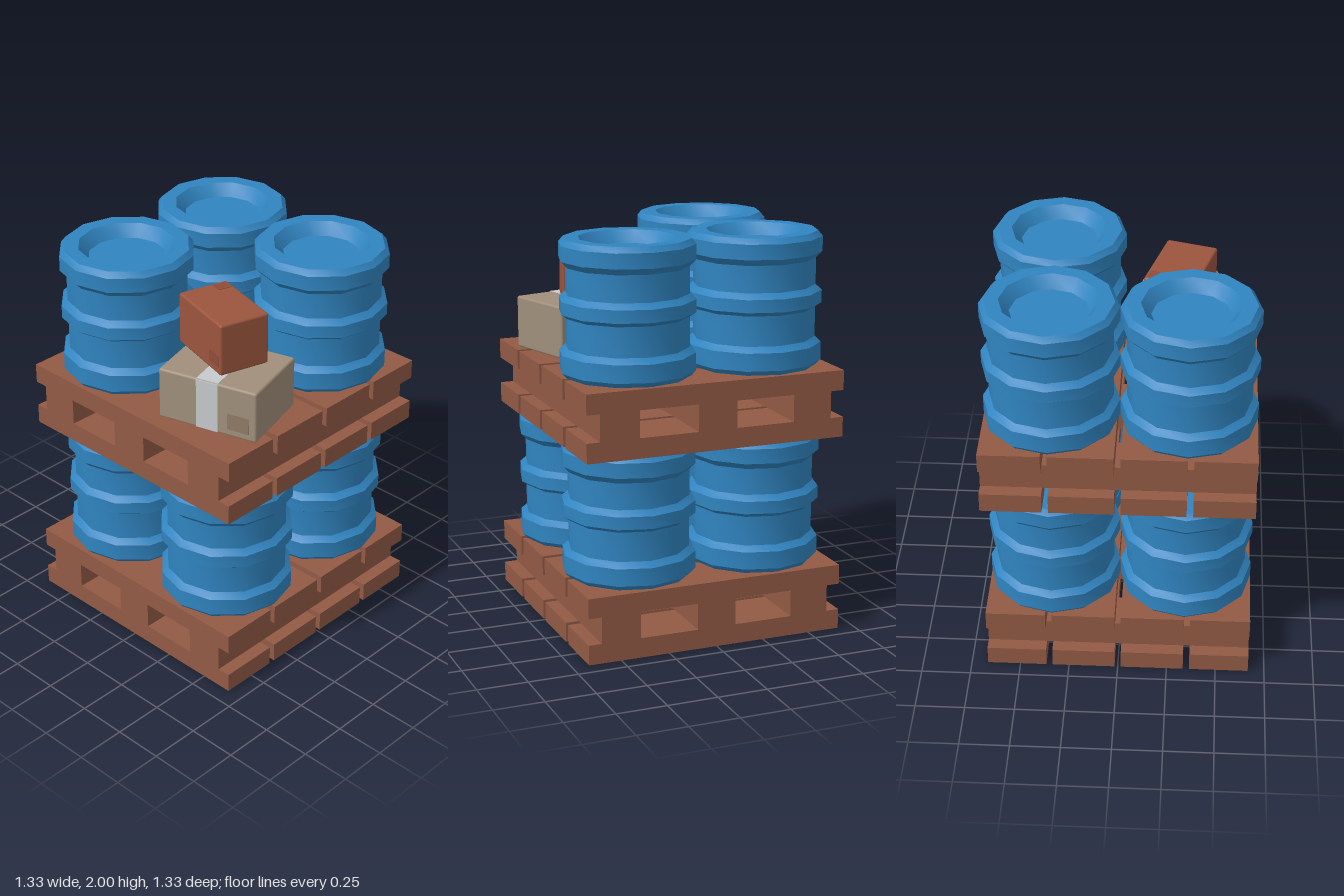
import * as THREE from 'three';
import { toCreasedNormals } from 'three/addons/utils/BufferGeometryUtils.js';
import { RoundedBoxGeometry } from 'three/addons/geometries/RoundedBoxGeometry.js';

const material = (name, color) => {
  const m = new THREE.MeshStandardMaterial({ color });
  m.name = name;
  return m;
};

const PALLET_H = 0.335;
const LAYER = 1;
const HALF = 0.667;

export function createModel() {
  const wood = material('pallet wood', 0x925a45);
  const blue = material('drum blue', 0x3084c0);
  const tan = material('tan cardboard', 0xa08f7a);
  const tanLabel = material('tan label', 0x8f7b66);
  const white = material('tape white', 0xc6cacd);
  const brown = material('brown cardboard', 0x9b553e);
  const brownLabel = material('brown label', 0x8f4c37);

  const model = new THREE.Group();
  model.name = 'loadedPallets';

  const add = (parent, name, geometry, mat, x, y, z) => {
    const mesh = new THREE.Mesh(geometry, mat);
    mesh.name = name;
    mesh.position.set(x, y, z);
    parent.add(mesh);
    return mesh;
  };
  const box = (parent, name, mat, w, h, d, x, y, z) =>
    add(parent, name, new THREE.BoxGeometry(w, h, d), mat, x, y, z);

  // Pallet: four boards above and below three stringers
  function makePallet() {
    const pallet = new THREE.Group();
    pallet.name = 'pallet';
    const boards = [[-HALF, -0.366], [-0.334, -0.016], [0.016, 0.334], [0.366, HALF]];
    for (const [z0, z1] of boards) {
      const d = z1 - z0, z = (z0 + z1) / 2;
      box(pallet, 'bottomBoard', wood, HALF * 2, 0.1, d, 0, 0.05, z);
      box(pallet, 'topBoard', wood, HALF * 2, 0.1, d, 0, 0.285, z);
    }
    for (const x of [-0.5, 0, 0.5]) {
      box(pallet, 'stringer', wood, 0.2, 0.135, HALF * 2, x, 0.1675, 0);
    }
    return pallet;
  }

  // Drum: twelve-sided ribbed body with a recessed lid
  const profile = [
    [0, 0], [0.31, 0], [0.333, 0.025], [0.333, 0.113], [0.302, 0.14],
    [0.302, 0.288], [0.333, 0.31], [0.333, 0.373], [0.302, 0.4],
    [0.302, 0.532], [0.333, 0.564], [0.333, 0.638], [0.31, 0.665],
    [0.238, 0.665], [0.19, 0.605], [0, 0.605],
  ].map(([r, y]) => new THREE.Vector2(r, y));
  const drumGeometry = toCreasedNormals(new THREE.LatheGeometry(profile, 12), 0.6);

  for (let level = 0; level < 2; level++) {
    const base = level * LAYER;
    const pallet = makePallet();
    pallet.position.y = base;
    model.add(pallet);
    for (const x of [-1, 1]) {
      for (const z of [-1, 1]) {
        // One corner of the upper pallet holds the cartons
        if (level === 1 && x === 1 && z === 1) continue;
        add(model, 'drum', drumGeometry, blue, x / 3, base + PALLET_H, z / 3);
      }
    }
  }

  // Carton with softly rounded edges, turned about its own centre
  function makeCarton(name, mat, w, h, d, x, y, z, turn) {
    const carton = new THREE.Group();
    carton.name = name;
    carton.position.set(x, y, z);
    carton.rotation.y = turn;
    add(carton, 'cartonBody', new RoundedBoxGeometry(w, h, d, 2, 0.012), mat, 0, h / 2, 0);
    model.add(carton);
    return carton;
  }

  // Lower carton with a tape band and a front label
  const lower = makeCarton('lowerCarton', tan, 0.52, 0.265, 0.4, 0.334, 1.335, 0.33, 0.27);
  box(lower, 'topTape', white, 0.115, 0.004, 0.39, 0, 0.265, 0);
  for (const s of [-1, 1]) {
    box(lower, 'sideTape', white, 0.115, 0.255, 0.004, 0, 0.1325, s * 0.2);
  }
  box(lower, 'frontLabel', tanLabel, 0.115, 0.085, 0.004, 0.165, 0.08, 0.2);

  // Upper carton with two small labels
  const upper = makeCarton('upperCarton', brown, 0.395, 0.265, 0.262, 0.253, 1.602, 0.27, -0.28);
  box(upper, 'topLabel', brownLabel, 0.06, 0.004, 0.07, -0.15, 0.265, -0.08);
  box(upper, 'frontLabel', brownLabel, 0.085, 0.06, 0.004, 0.135, 0.07, 0.131);

  return model;
}
